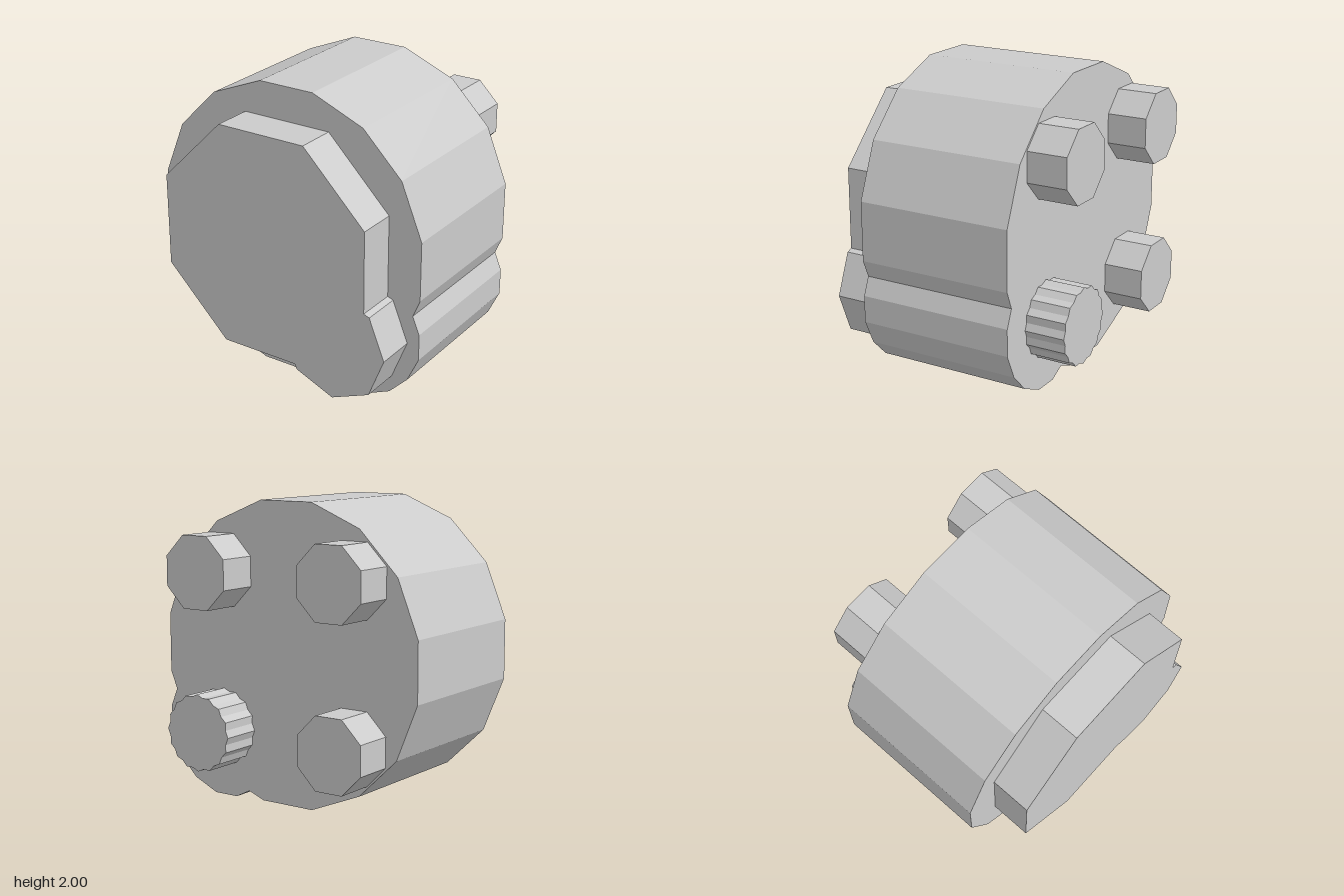
import * as THREE from 'three';

const material = new THREE.MeshStandardMaterial({ color: 0xcccccc, flatShading: true });

// Straight prism along z from an outline of [x, y] corners
function prism(name, corners, z0, z1) {
  const shape = new THREE.Shape(corners.map(([x, y]) => new THREE.Vector2(x, y)));
  const geometry = new THREE.ExtrudeGeometry(shape, { depth: z1 - z0, bevelEnabled: false });
  geometry.translate(0, 0, z0);
  const mesh = new THREE.Mesh(geometry, material);
  mesh.name = name;
  return mesh;
}

// Ring of corners whose radius cycles through the given list
function ring(cx, cy, count, radii, start = 0) {
  return Array.from({ length: count }, (_, i) => {
    const a = start + (i / count) * Math.PI * 2;
    const r = radii[i % radii.length];
    return [cx + r * Math.cos(a), cy + r * Math.sin(a)];
  });
}

export function createModel() {
  const group = new THREE.Group();
  group.name = 'knobBlock';
  const half = 0.54, end = 0.815;

  // Main drum: sixteen-sided, with a smaller lobe at the lower left corner
  group.add(prism('drum', [
    [-0.2, 2], [-0.57, 1.85], [-0.85, 1.57], [-1, 1.2], [-1, 0.8], [-0.85, 0.43],
    [-0.57, 0.16], [-0.2, 0.01], [0.2, 0.01], [0.32, 0.055],
    [0.43, 0], [0.61, 0], [0.79, 0.08], [0.92, 0.21], [1, 0.38], [1, 0.56], [0.95, 0.68],
    [1, 0.8], [1, 1.2], [0.85, 1.57], [0.57, 1.85], [0.2, 2],
  ], -half, half));

  // Raised front plate: octagon with a small octagonal lobe
  group.add(prism('frontPlate', [
    [-0.32, 1.77], [-0.77, 1.32], [-0.77, 0.685], [-0.32, 0.235], [0.24, 0.235],
    [0.255, 0.2], [0.53, 0.085], [0.805, 0.2], [0.915, 0.475], [0.805, 0.75],
    [0.765, 0.765], [0.765, 1.32], [0.32, 1.77],
  ], half, end));

  // Three octagonal pegs on the back
  for (const [name, x, y] of [['upperRightPeg', -0.53, 1.532], ['upperLeftPeg', 0.53, 1.532], ['lowerRightPeg', -0.53, 0.474]]) {
    group.add(prism(name, ring(x, y, 8, [0.26], Math.PI / 8), -end, -half));
  }

  // Fluted peg behind the lobe
  group.add(prism('flutedPeg', ring(0.528, 0.474, 32, [0.259, 0.243]), -end, -half));

  return group;
}
